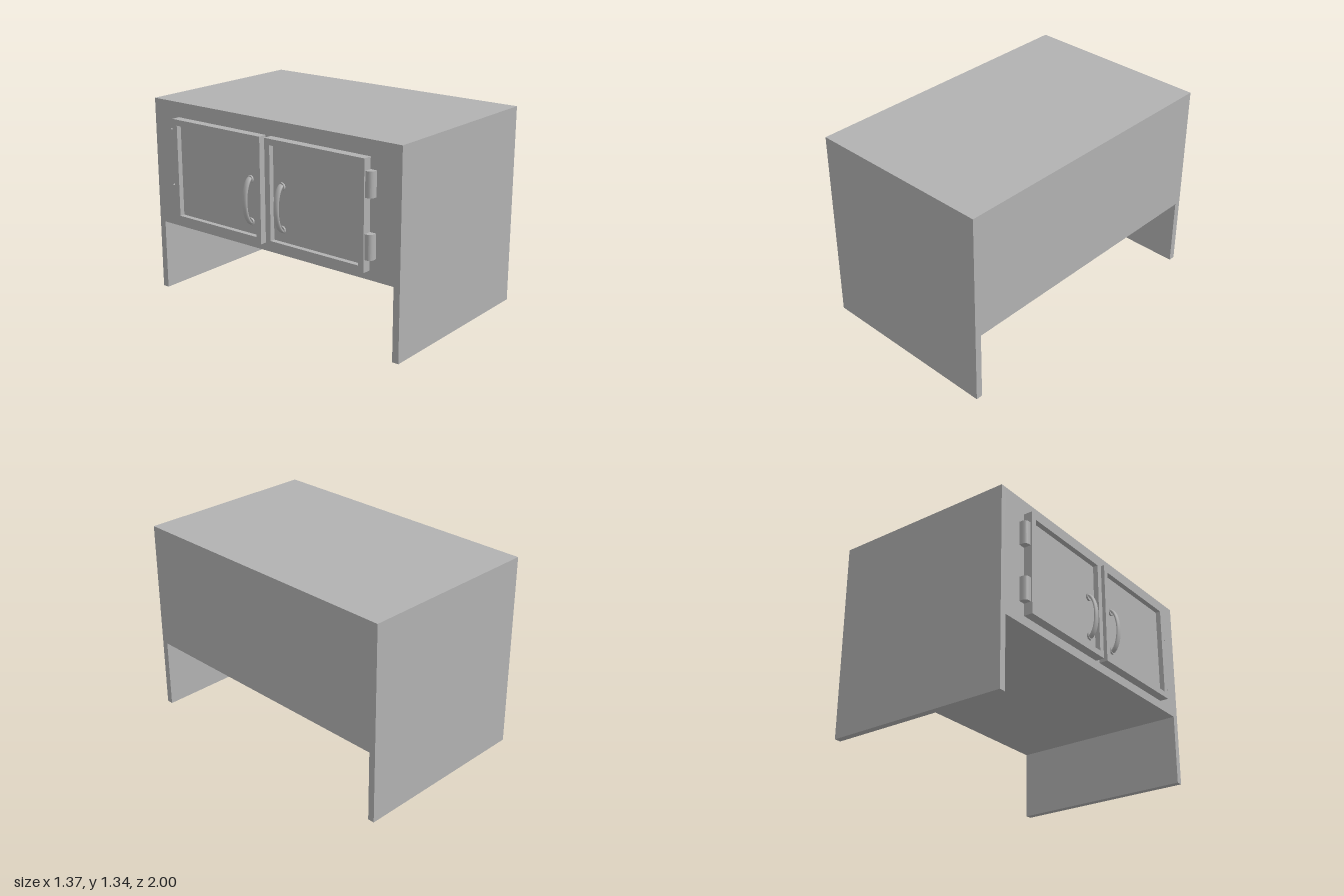
import * as THREE from 'three';

const gray = new THREE.MeshStandardMaterial({ color: 0xb2b2b2 });
gray.name = 'plain gray';

function add(parent, name, geometry, x = 0, y = 0, z = 0) {
  const mesh = new THREE.Mesh(geometry, gray);
  mesh.name = name;
  mesh.position.set(x, y, z);
  parent.add(mesh);
  return mesh;
}

// Rectangle outline, usable as a shape or as a hole
function rect(path, x0, y0, x1, y1) {
  path.moveTo(x0, y0);
  path.lineTo(x1, y0);
  path.lineTo(x1, y1);
  path.lineTo(x0, y1);
  path.closePath();
  return path;
}

// Door in local space: x runs along the cabinet, z points outward; side is -1 or 1
function makeDoor(side) {
  const door = new THREE.Group();
  door.name = side < 0 ? 'backDoor' : 'frontDoor';
  const w = 0.38, h = 0.3475, border = 0.04, depth = 0.06;
  const cx = side * 0.4, cy = 0.8875;

  // Raised frame around a recessed panel
  const outline = rect(new THREE.Shape(), -w, -h, w, h);
  outline.holes.push(rect(new THREE.Path(), -w + border, -h + border, w - border, h - border));
  add(door, 'doorFrame', new THREE.ExtrudeGeometry(outline, { depth, bevelEnabled: false }), cx, cy, 0);
  add(door, 'doorPanel', new THREE.BoxGeometry(2 * (w - border), 2 * (h - border), 0.025), cx, cy, 0.0125);

  // Bowed pull handle, wider than it is thick
  const points = [];
  for (let i = 0; i <= 16; i++) {
    const a = -Math.PI / 2 + (Math.PI * i) / 16;
    points.push(new THREE.Vector3(0, 0.15 * Math.sin(a), 0.02 + 0.064 * Math.cos(a)));
  }
  const bow = new THREE.TubeGeometry(new THREE.CatmullRomCurve3(points), 32, 0.011, 12);
  add(door, 'handle', bow, side * 0.13, 0.8, 0).scale.x = 1.8;
  for (const end of [-1, 1]) {
    const foot = new THREE.CylinderGeometry(0.026, 0.026, 0.014, 20).rotateX(Math.PI / 2);
    add(door, 'handleFoot', foot, side * 0.13, 0.8 + end * 0.14, 0.03);
  }

  // Hinge knuckles with a rounded outer corner, on the far edge of the door
  const knuckle = new THREE.Shape();
  knuckle.moveTo(0, 0);
  knuckle.lineTo(side * 0.045, 0);
  knuckle.lineTo(side * 0.045, -0.018);
  knuckle.quadraticCurveTo(side * 0.043, -0.05, side * 0.012, -0.05);
  knuckle.lineTo(0, -0.05);
  knuckle.closePath();
  for (const y of [0.62, 1.0]) {
    const hinge = new THREE.ExtrudeGeometry(knuckle, { depth: 0.16, bevelEnabled: false, curveSegments: 10 });
    add(door, 'hinge', hinge.rotateX(-Math.PI / 2), side * 0.78, y, 0);
  }

  door.rotation.y = -Math.PI / 2;
  door.position.x = -0.59;
  return door;
}

export function createModel() {
  const model = new THREE.Group();
  model.name = 'cabinet';

  // Closed case carried between two full-height end panels
  add(model, 'case', new THREE.BoxGeometry(1.272, 0.855, 1.91), 0.046, 0.9075, 0);
  for (const side of [-1, 1]) {
    add(model, side < 0 ? 'backEndPanel' : 'frontEndPanel',
      new THREE.BoxGeometry(1.272, 1.335, 0.045), 0.046, 0.6675, side * 0.9775);
    model.add(makeDoor(side));
  }
  return model;
}
